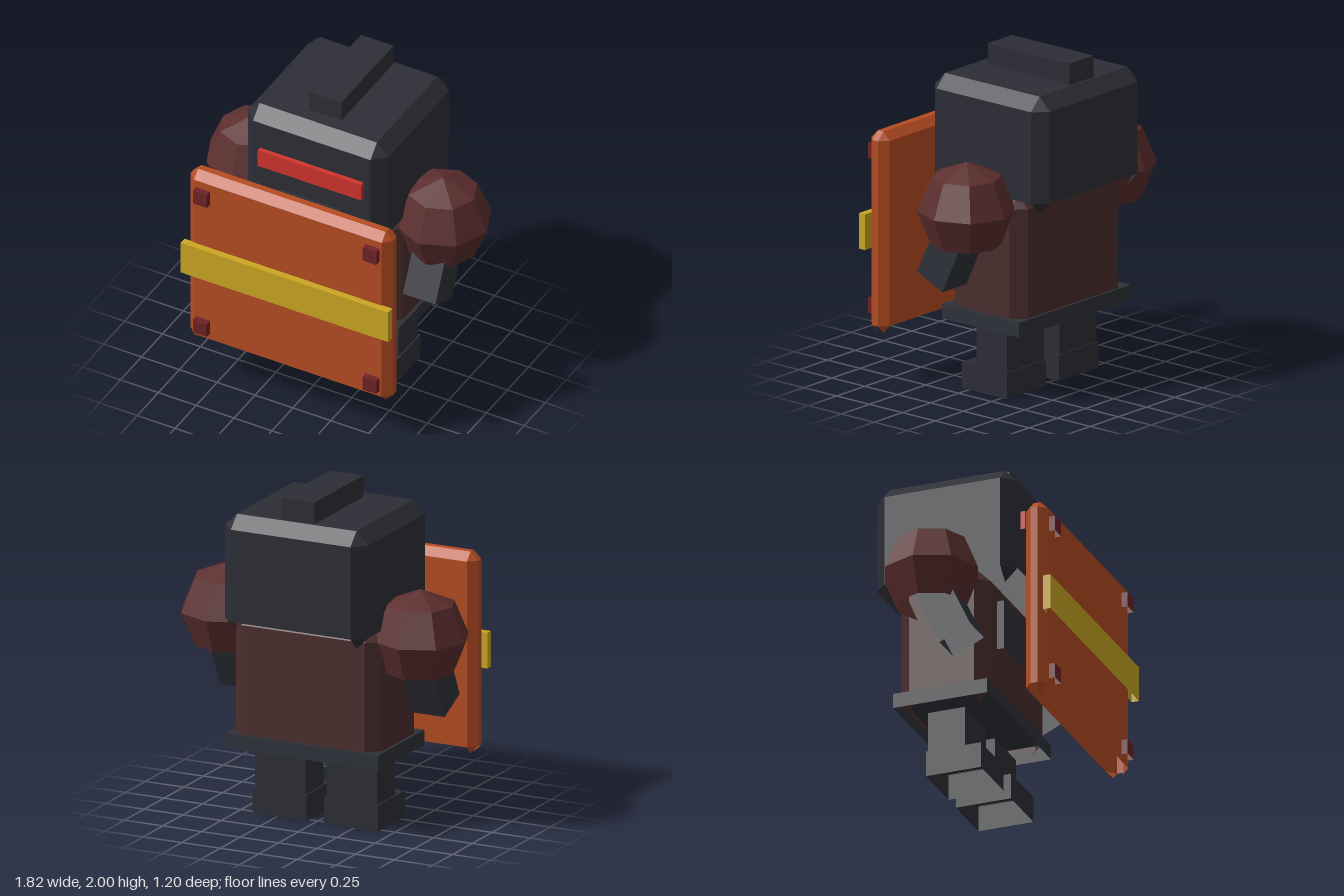
import * as THREE from 'three';
import { ConvexGeometry } from 'three/addons/geometries/ConvexGeometry.js';

const material = (name, color) => {
  const m = new THREE.MeshStandardMaterial({ color, side: THREE.DoubleSide, flatShading: true });
  m.name = name;
  return m;
};

// Shell without undersides: faces pointing steeply down are left open
function openBelow(geometry) {
  const g = geometry.index ? geometry.toNonIndexed() : geometry;
  const p = g.attributes.position;
  const kept = [];
  const tri = new THREE.Triangle();
  const n = new THREE.Vector3();
  for (let i = 0; i < p.count; i += 3) {
    tri.setFromAttributeAndIndices(p, i, i + 1, i + 2);
    if (tri.getArea() < 1e-9) continue;
    tri.getNormal(n);
    if (n.y < -0.64) continue;
    for (const v of [tri.a, tri.b, tri.c]) kept.push(v.x, v.y, v.z);
  }
  const out = new THREE.BufferGeometry();
  out.setAttribute('position', new THREE.Float32BufferAttribute(kept, 3));
  out.computeVertexNormals();
  return out;
}

// Boxes are given by their limits on each axis
function box(x0, x1, y0, y1, z0, z1) {
  return new THREE.BoxGeometry(x1 - x0, y1 - y0, z1 - z0)
    .translate((x0 + x1) / 2, (y0 + y1) / 2, (z0 + z1) / 2);
}

// Box with every edge cut at 45 degrees and triangular corners
function chamferBox(x0, x1, y0, y1, z0, z1, c) {
  const half = [(x1 - x0) / 2, (y1 - y0) / 2, (z1 - z0) / 2];
  const points = [];
  for (const sx of [-1, 1]) for (const sy of [-1, 1]) for (const sz of [-1, 1]) {
    for (let axis = 0; axis < 3; axis++) {
      const h = half.map((v, i) => (i === axis ? v : v - c));
      points.push(new THREE.Vector3(sx * h[0], sy * h[1], sz * h[2]));
    }
  }
  return new ConvexGeometry(points).translate((x0 + x1) / 2, (y0 + y1) / 2, (z0 + z1) / 2);
}

export function createModel() {
  const model = new THREE.Group();
  model.name = 'shieldBearer';

  const charcoal = material('charcoal', 0x2d2e36);
  const steel = material('steel', 0x2e3239);
  const brown = material('dark brown', 0x4a2e2e);
  const maroon = material('maroon', 0x5c2e2e);
  const orange = material('orange', 0xb54c22);
  const yellow = material('yellow', 0xcba722);
  const red = material('red', 0xcf342e);
  const rivetRed = material('rivet red', 0x6e2226);

  const add = (name, geometry, mat) => {
    const mesh = new THREE.Mesh(openBelow(geometry), mat);
    mesh.name = name;
    model.add(mesh);
  };

  // Head
  add('head', chamferBox(-0.465, 0.465, 1.16, 1.87, -0.597, 0.276, 0.077), charcoal);
  add('crest', box(-0.107, 0.107, 1.87, 2.0, -0.505, 0.115), charcoal);
  add('visor', box(-0.342, 0.342, 1.503, 1.615, 0.27, 0.306), red);
  add('mouthGuard', box(-0.2, 0.2, 1.285, 1.365, 0.27, 0.297), charcoal);

  // Body
  add('torso', chamferBox(-0.475, 0.475, 0.41, 1.25, -0.44, 0.115, 0.075), brown);
  add('chestPlate', box(-0.3, 0.3, 0.785, 1.09, 0.11, 0.156), steel);
  add('belt', box(-0.495, 0.495, 0.425, 0.515, -0.455, 0.13), steel);

  // Limbs
  for (const s of [-1, 1]) {
    const side = s > 0 ? 'left' : 'right';
    add(side + 'Shoulder', new THREE.SphereGeometry(0.29, 8, 4).translate(s * 0.622, 1.17, -0.165), maroon);
    add(side + 'Arm', new THREE.BoxGeometry(0.215, 0.42, 0.21)
      .rotateX(THREE.MathUtils.degToRad(-25))
      .translate(s * 0.622, 0.912, -0.065), steel);
    add(side + 'Leg', box(s * 0.232 - 0.164, s * 0.232 + 0.164, 0.155, 0.405, -0.278, -0.047), charcoal);
    add(side + 'Foot', box(s * 0.232 - 0.174, s * 0.232 + 0.174, 0, 0.157, -0.286, 0.056), charcoal);
  }

  // Shield with band and corner rivets
  add('shield', chamferBox(-0.668, 0.668, 0.3, 1.515, 0.422, 0.56, 0.048), orange);
  add('shieldBand', box(-0.685, 0.685, 0.797, 1.012, 0.555, 0.6), yellow);
  for (const x of [-0.56, 0.56]) for (const y of [0.436, 1.373]) {
    add('rivet', box(x - 0.046, x + 0.046, y - 0.046, y + 0.046, 0.555, 0.599), rivetRed);
  }
  return model;
}
